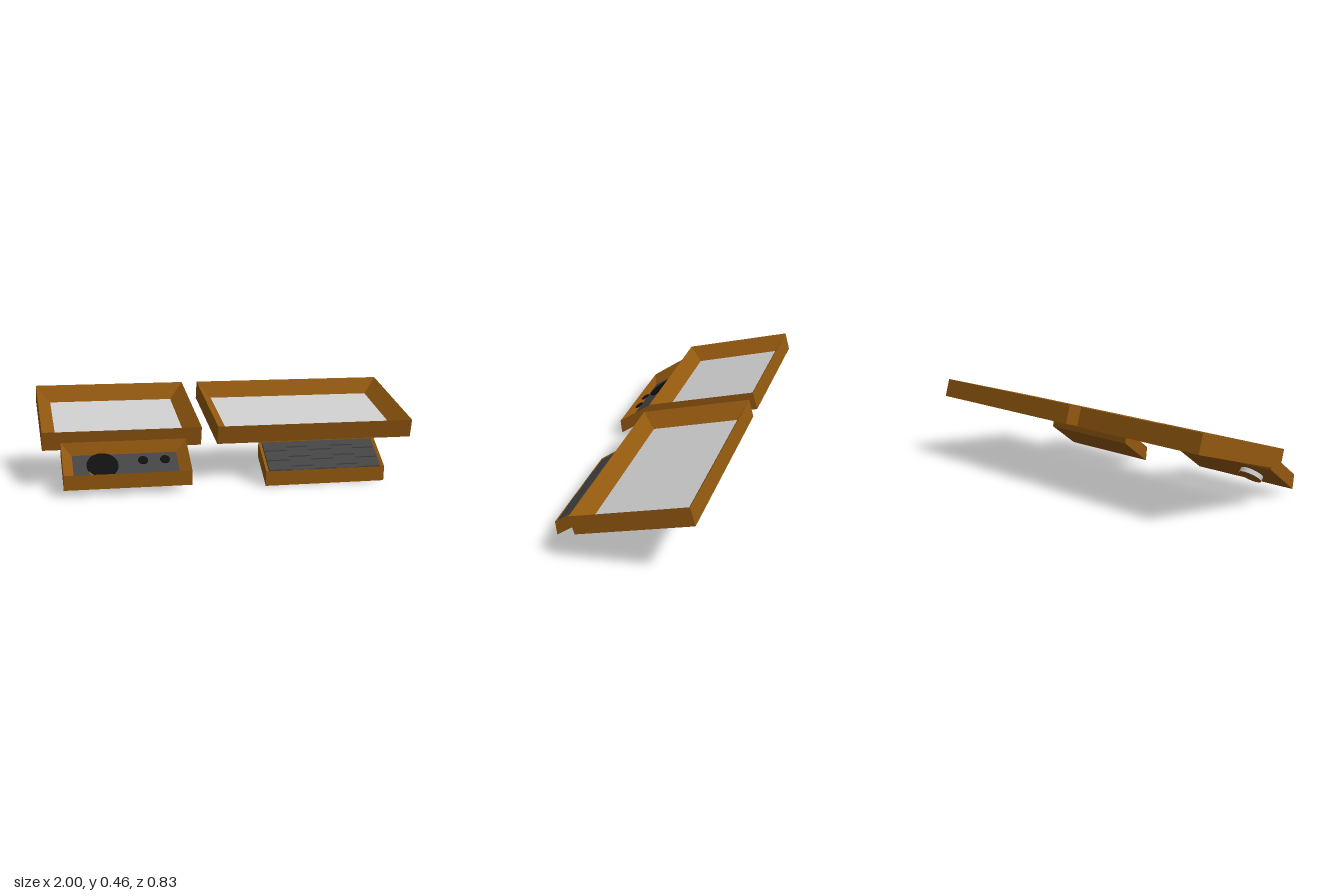
import * as THREE from 'three';

const material = (name, color) => Object.assign(new THREE.MeshStandardMaterial({ color }), { name });

// Non-indexed flat geometry from four-cornered faces
function quads(list) {
  const points = list.flatMap(([a, b, c, d]) => [a, b, c, a, c, d]).flat();
  const geometry = new THREE.BufferGeometry();
  geometry.setAttribute('position', new THREE.Float32BufferAttribute(points, 3));
  geometry.computeVertexNormals();
  return geometry;
}

export function createModel() {
  const wood = material('wood', 0x92580f);
  const paper = material('pale grey', 0xcbcbcb);
  const charcoal = material('charcoal', 0x434343);
  const black = material('black', 0x101010);
  const model = new THREE.Group();

  function add(parent, name, geometry, mat) {
    const mesh = new THREE.Mesh(geometry, mat);
    mesh.name = name;
    parent.add(mesh);
    return mesh;
  }

  // Leaning tray: up and depth are [y, z] vectors, so the box may be sheared
  function tray(name, { x0, x1, center, up, depth, insetX, insetZ, floorY, floorMat }) {
    const group = new THREE.Group();
    group.name = name;
    model.add(group);
    const place = new THREE.Matrix4().makeBasis(
      new THREE.Vector3(x1 - x0, 0, 0),
      new THREE.Vector3(0, ...up),
      new THREE.Vector3(0, ...depth)
    ).setPosition((x0 + x1) / 2, ...center);

    const ring = (x, y, z) => [[-x, y, -z], [-x, y, z], [x, y, z], [x, y, -z]];
    const bottom = ring(0.5, -0.5, 0.5);
    const rim = ring(0.5, 0.5, 0.5);
    const floor = ring(0.5 - insetX, floorY, 0.5 - insetZ);
    const faces = [[...bottom].reverse()];
    for (let i = 0; i < 4; i++) {
      const j = (i + 1) % 4;
      faces.push([bottom[i], bottom[j], rim[j], rim[i]]);
      faces.push([rim[i], rim[j], floor[j], floor[i]]);
    }
    add(group, name + 'Frame', quads(faces).applyMatrix4(place), wood);
    add(group, name + 'Floor', quads([floor]).applyMatrix4(place), floorMat);
    return { group, place };
  }

  // Two large display trays
  const display = {
    center: [0.3285, -0.1035], up: [0.097, 0.027], depth: [-0.17, 0.594],
    insetZ: 0.105, floorY: -0.25, floorMat: paper
  };
  tray('smallDisplay', { ...display, x0: -1, x1: -0.174, insetX: 0.09 });
  tray('largeDisplay', { ...display, x0: -0.086, x1: 1, insetX: 0.069 });

  // Control tray with a dial and two buttons
  const control = tray('controlTray', {
    x0: -0.909, x1: -0.265, center: [0.1365, 0.322], up: [0.076, 0.0095],
    depth: [-0.133, 0.1824], insetX: 0.084, insetZ: 0.09, floorY: -0.22, floorMat: charcoal
  });
  function disc(name, radius, height, position, mats) {
    const mesh = add(control.group, name, new THREE.CylinderGeometry(radius, radius, height, 32), mats);
    mesh.position.set(...position);
    mesh.rotation.x = 0.63;
  }
  disc('dial', 0.08, 0.014, [-0.706, 0.13, 0.308], black);
  for (const x of [-0.505, -0.393]) disc('button', 0.025, 0.006, [x, 0.158, 0.346], black);
  // Round boss under the dial
  disc('underBoss', 0.063, 0.05, [-0.715, 0.0985, 0.316], [paper, wood, wood]);

  // Key tray with staggered raised keys
  const keys = tray('keyTray', {
    x0: 0.128, x1: 0.773, center: [0.1025, 0.298], up: [0.078, 0.0085],
    depth: [-0.126, 0.167], insetX: 0.03, insetZ: 0.015, floorY: 0.3, floorMat: charcoal
  });
  const columns = 5, rows = 3, width = 0.94 / columns, row = 0.97 / rows;
  for (let c = 0; c < columns; c++) {
    const shift = c % 2 ? -0.36 * row : 0;
    for (let r = 0; r <= rows; r++) {
      const back = Math.max(-0.485, -0.485 + r * row + shift);
      const front = Math.min(0.485, -0.485 + (r + 1) * row + shift - 0.035);
      if (front - back < 0.02) continue;
      const key = new THREE.BoxGeometry(width, 0.18, front - back);
      key.translate(-0.47 + (c + 0.5) * width, 0.39, (front + back) / 2);
      add(keys.group, 'key', key.applyMatrix4(keys.place), charcoal);
    }
  }
  return model;
}
